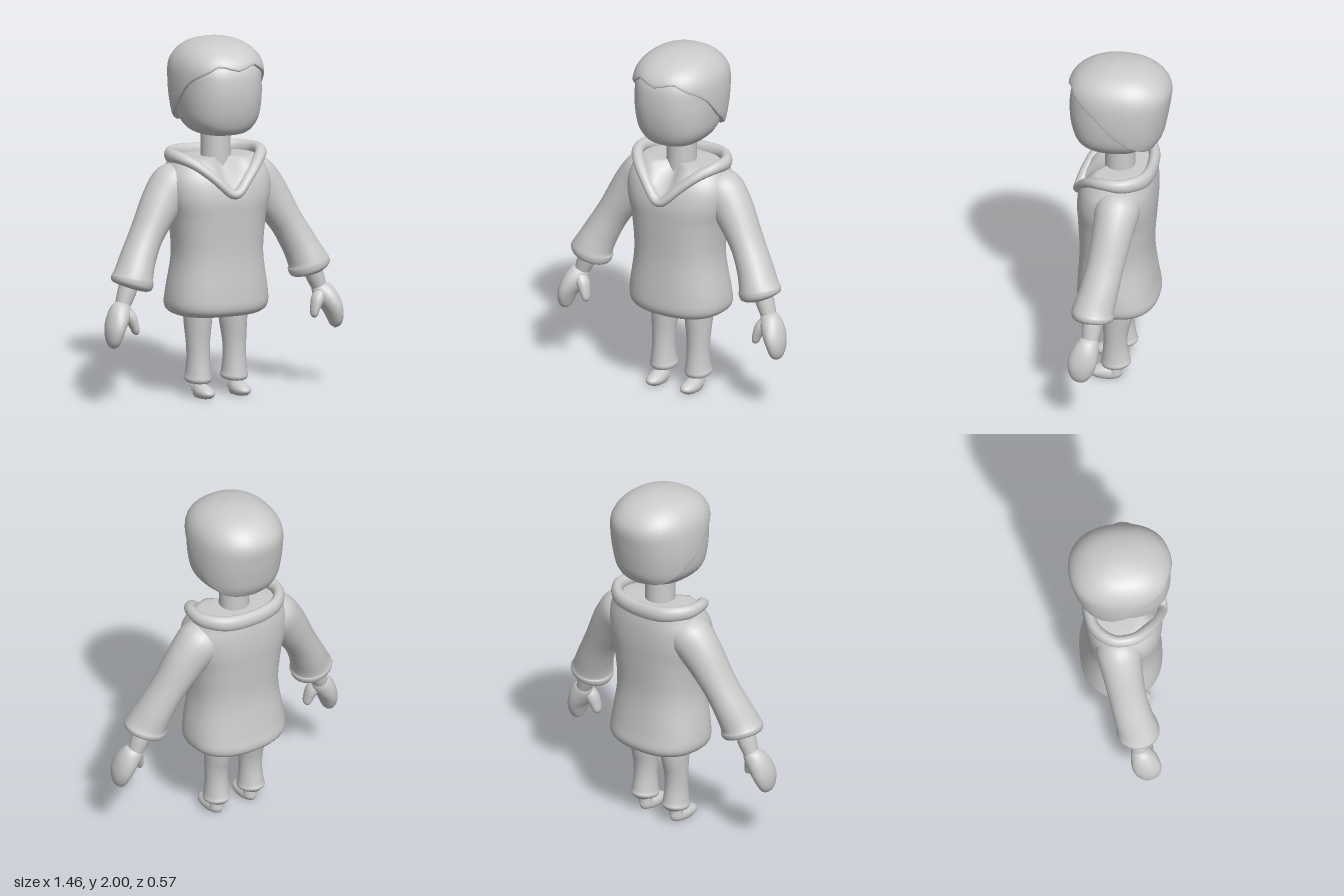
import * as THREE from 'three';

const V = (x, y, z) => new THREE.Vector3(x, y, z);
const SEG = 40;
const material = new THREE.MeshStandardMaterial({ color: 0xcccccc, side: THREE.DoubleSide });

// Catmull-Rom through rows of numbers, at position s (0 .. rows.length - 1)
function rowAt(rows, s) {
  const n = rows.length - 1;
  const i = Math.min(Math.floor(s), n - 1), t = s - i;
  const [a, b, c, d] = [i - 1, i, i + 1, i + 2].map(k => rows[Math.min(Math.max(k, 0), n)]);
  return b.map((p, k) => p + 0.5 * t * (c[k] - a[k] + t * (2 * a[k] - 5 * p + 4 * c[k] - d[k]
    + t * (3 * (p - c[k]) + d[k] - a[k]))));
}
function smooth(rows, per = 5) {
  const out = [];
  for (let i = 0; i <= (rows.length - 1) * per; i++) out.push(rowAt(rows, i / per));
  return out;
}

// Skin over a list of rings of points; ends capped, or joined in a loop
function loft(rings, loop = false) {
  const n = rings[0].length, m = rings.length, idx = [];
  const pts = rings.flat();
  for (let i = 0; i < (loop ? m : m - 1); i++) {
    for (let j = 0; j < n; j++) {
      const k = (j + 1) % n, r = ((i + 1) % m) * n;
      idx.push(i * n + j, i * n + k, r + j, i * n + k, r + k, r + j);
    }
  }
  if (!loop) {
    [0, m - 1].forEach(e => {
      const c = pts.length;
      pts.push(rings[e].reduce((s, p) => s.add(p), V(0, 0, 0)).divideScalar(n));
      for (let j = 0; j < n; j++) {
        const k = (j + 1) % n;
        if (e) idx.push(c, e * n + j, e * n + k);
        else idx.push(c, k, j);
      }
    });
  }
  const g = new THREE.BufferGeometry().setFromPoints(pts);
  g.setIndex(idx);
  g.computeVertexNormals();
  return g;
}

// Point on a level rounded section [y, halfWidth, zFront, zBack]
const angle = j => (j / SEG) * Math.PI * 2;
function sectionPoint([y, rx, zf, zb], a, power) {
  const f = v => Math.sign(v) * Math.abs(v) ** (2 / power);
  return V(rx * f(Math.cos(a)), y, (zf + zb) / 2 - (zf - zb) / 2 * f(Math.sin(a)));
}
const section = (row, power) => Array.from({ length: SEG }, (_, j) => sectionPoint(row, angle(j), power));

// Limb along rows [x, y, z, half width, half depth]
function limb(rows, side) {
  const path = smooth(rows.map(([x, ...r]) => [x * side, ...r]));
  return loft(path.map(([x, y, z, w, d], i) => {
    const a = path[Math.max(i - 1, 0)], b = path[Math.min(i + 1, path.length - 1)];
    const t = V(b[0] - a[0], b[1] - a[1], b[2] - a[2]).normalize();
    const u = t.clone().cross(V(0, 0, 1)).normalize(), v = t.clone().cross(u);
    return Array.from({ length: 24 }, (_, j) => {
      const q = j / 24 * Math.PI * 2;
      return V(x, y, z).addScaledVector(u, w * Math.cos(q)).addScaledVector(v, d * Math.sin(q));
    });
  }));
}

// Torso with a V neckline pressed into its top
function torso() {
  const rows = [[0.475, 0.05, 0.05, -0.05], [0.462, 0.2, 0.16, -0.16], [0.47, 0.255, 0.205, -0.2],
    [0.51, 0.288, 0.232, -0.222], [0.6, 0.285, 0.232, -0.208], [0.8, 0.256, 0.222, -0.185],
    [1, 0.272, 0.23, -0.196], [1.12, 0.3, 0.234, -0.205], [1.22, 0.305, 0.215, -0.205],
    [1.29, 0.28, 0.18, -0.198], [1.33, 0.25, 0.14, -0.185], [1.34, 0.16, 0.1, -0.12], [1.34, 0.05, 0.04, -0.04]];
  return loft(smooth(rows).map(r => section(r, 2.4).map(p => {
    p.y = Math.min(p.y, 1.14 + 0.95 * Math.abs(p.x) + Math.max(0, 0.235 - p.z));
    return p;
  })));
}

// Cap of hair whose lower edge falls from brow to nape
function hair() {
  const rows = [[1.49, 0.2, 0.2, -0.185], [1.56, 0.228, 0.24, -0.235], [1.65, 0.246, 0.27, -0.258],
    [1.75, 0.252, 0.283, -0.275], [1.85, 0.245, 0.29, -0.283], [1.92, 0.212, 0.25, -0.242],
    [1.97, 0.15, 0.165, -0.17], [1.995, 0.065, 0.065, -0.08], [2, 0.004, 0, -0.01]];
  // [angle from the front, edge height]
  const edge = [[0, 1.855], [0.2, 1.868], [0.42, 1.885], [0.75, 1.84], [1.05, 1.805], [1.3, 1.75],
    [1.57, 1.655], [1.9, 1.58], [2.35, 1.535], [Math.PI, 1.515]];
  const top = rows.length - 1, starts = [];
  for (let j = 0; j < SEG; j++) {
    const f = Math.acos(-Math.sin(angle(j)));
    const k = Math.min(Math.max(edge.findIndex(e => e[0] >= f - 1e-6), 1), edge.length - 1);
    const [a, b] = [edge[k - 1], edge[k]];
    const y = THREE.MathUtils.lerp(a[1], b[1], (f - a[0]) / (b[0] - a[0]));
    let s = 0;
    while (s < top && rowAt(rows, s)[0] < y) s += 0.01;
    starts.push(s);
  }
  const ring = t => starts.map((s, j) => sectionPoint(rowAt(rows, s + (top - s) * t), angle(j), 2.25));
  const lip = (scale, dy) => ring(0).map(p => V(p.x * scale, p.y + dy, p.z * scale));
  const rings = [lip(0.8, 0.01), lip(0.95, -0.008), lip(0.985, -0.006)];
  for (let i = 0; i <= 28; i++) rings.push(ring(i / 28));
  return loft(rings);
}

// Rolled collar following the neckline
function collar() {
  const half = [[0.015, 1.155, 0.232], [0.1, 1.235, 0.2], [0.19, 1.315, 0.14], [0.25, 1.35, 0.06],
    [0.255, 1.35, -0.05], [0.17, 1.343, -0.15]];
  const pts = [...half.map(p => V(...p)), V(0, 1.335, -0.178),
    ...half.slice().reverse().map(([x, y, z]) => V(-x, y, z))];
  const curve = new THREE.CatmullRomCurve3(pts, true);
  const rings = [];
  for (let i = 0; i < 100; i++) {
    const p = curve.getPointAt(i / 100), t = curve.getTangentAt(i / 100);
    const u = t.clone().cross(V(0, 1, 0)).normalize(), v = t.clone().cross(u);
    const h = THREE.MathUtils.lerp(0.046, 0.026, THREE.MathUtils.smoothstep(p.z, -0.2, 0.23));
    rings.push(Array.from({ length: 16 }, (_, j) => {
      const q = j / 8 * Math.PI;
      return p.clone().addScaledVector(u, 0.032 * Math.cos(q)).addScaledVector(v, h * Math.sin(q));
    }));
  }
  return loft(rings, true);
}

// Rounded shoe with a flat sole and low toe
function shoe(side) {
  const g = new THREE.SphereGeometry(1, 24, 16);
  const p = g.attributes.position;
  for (let i = 0; i < p.count; i++) {
    const z = p.getZ(i), y = p.getY(i);
    p.setXYZ(i, side * 0.112 + p.getX(i) * (0.048 + 0.006 * z),
      Math.max(0, 0.028 + y * (0.046 - 0.012 * z)), 0.068 + z * 0.098);
  }
  g.computeVertexNormals();
  return g;
}

export function createModel() {
  const model = new THREE.Group();
  const add = (name, geometry) => {
    const mesh = new THREE.Mesh(geometry, material);
    mesh.name = name;
    model.add(mesh);
    return mesh;
  };

  add('head', loft(smooth([[1.47, 0.03, 0.06, 0], [1.474, 0.11, 0.17, -0.1], [1.5, 0.162, 0.225, -0.15],
    [1.56, 0.205, 0.256, -0.19], [1.65, 0.222, 0.276, -0.22], [1.75, 0.226, 0.28, -0.235],
    [1.85, 0.22, 0.262, -0.235], [1.93, 0.165, 0.19, -0.175], [1.96, 0.05, 0.05, -0.05]])
    .map(r => section(r, 2.4))));
  add('hair', hair());
  add('neck', new THREE.CylinderGeometry(0.082, 0.086, 0.28, 32)).position.set(0, 1.36, 0.003);
  add('torso', torso());
  add('collar', collar());

  for (const side of [1, -1]) {
    const name = part => (side > 0 ? 'left' : 'right') + part;
    // Sleeve, ending in a puffed cuff
    add(name('Sleeve'), limb([[0.16, 1.25, -0.03, 0.06, 0.09], [0.235, 1.2, -0.025, 0.125, 0.125],
      [0.32, 1.11, -0.015, 0.118, 0.115], [0.43, 0.94, 0.01, 0.094, 0.104], [0.5, 0.81, 0.035, 0.098, 0.108],
      [0.538, 0.725, 0.055, 0.108, 0.115], [0.55, 0.69, 0.06, 0.12, 0.12], [0.56, 0.662, 0.062, 0.11, 0.108],
      [0.563, 0.653, 0.062, 0.07, 0.07]], side));
    add(name('Wrist'), limb([[0.555, 0.72, 0.058, 0.052, 0.055], [0.585, 0.63, 0.06, 0.051, 0.054],
      [0.618, 0.545, 0.066, 0.04, 0.044]], side));
    // Mitten hand and its thumb
    add(name('Hand'), limb([[0.61, 0.58, 0.062, 0.03, 0.035], [0.62, 0.55, 0.068, 0.054, 0.055],
      [0.65, 0.5, 0.085, 0.06, 0.075], [0.678, 0.44, 0.1, 0.052, 0.08], [0.69, 0.385, 0.105, 0.041, 0.066],
      [0.691, 0.345, 0.105, 0.026, 0.04], [0.69, 0.328, 0.105, 0.003, 0.004]], side));
    add(name('Thumb'), limb([[0.625, 0.545, 0.08, 0.03, 0.035], [0.588, 0.5, 0.098, 0.036, 0.042],
      [0.566, 0.45, 0.108, 0.026, 0.036], [0.556, 0.41, 0.112, 0.018, 0.026],
      [0.553, 0.395, 0.112, 0.002, 0.003]], side));
    // Trouser leg with a flared cuff
    add(name('Leg'), limb([[0.11, 0.56, 0, 0.08, 0.095], [0.11, 0.42, 0, 0.076, 0.088],
      [0.113, 0.3, 0.008, 0.066, 0.07], [0.113, 0.21, 0.01, 0.064, 0.068], [0.113, 0.13, 0.008, 0.07, 0.078],
      [0.113, 0.1, 0.006, 0.076, 0.084], [0.113, 0.082, 0.004, 0.064, 0.07],
      [0.113, 0.08, 0.004, 0.035, 0.04]], side));
    const ankle = add(name('Ankle'), new THREE.CylinderGeometry(0.034, 0.04, 0.09, 20));
    ankle.position.set(side * 0.112, 0.075, 0.012);
    add(name('Shoe'), shoe(side));
  }
  return model;
}
